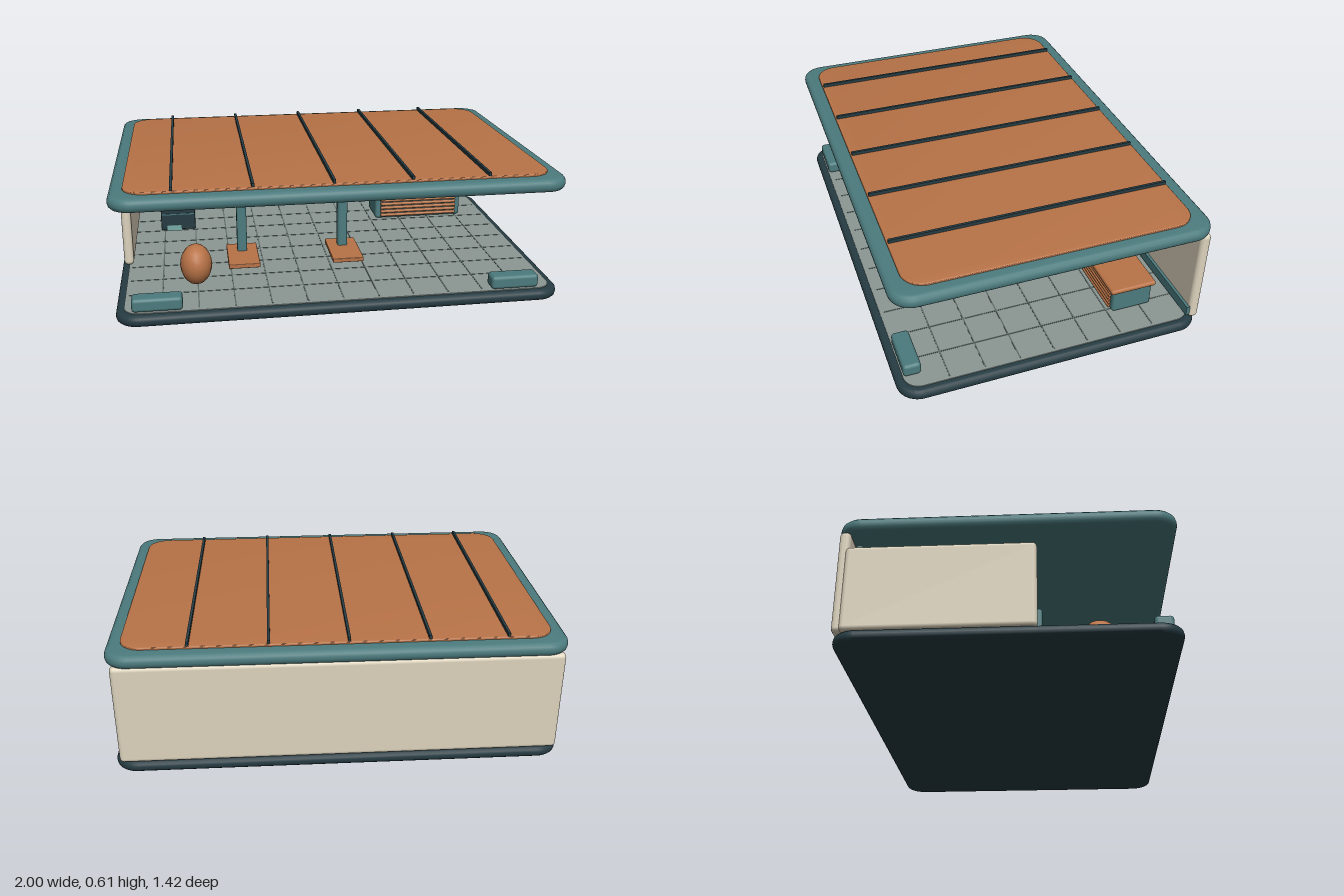
import * as THREE from 'three';
import { toCreasedNormals } from 'three/addons/utils/BufferGeometryUtils.js';
import { RoundedBoxGeometry } from 'three/addons/geometries/RoundedBoxGeometry.js';

const paint = (name, color) => {
  const m = new THREE.MeshStandardMaterial({ color });
  m.name = name;
  return m;
};

export function createModel() {
  const root = new THREE.Group();
  root.name = 'openPavilion';
  const orange = paint('terracotta', 0xb87347);
  const teal = paint('teal', 0x4c7b7e);
  const dark = paint('darkSlate', 0x263c43);
  const cream = paint('cream', 0xddd3bd);
  const stone = paint('stoneGrey', 0x8c9893);
  const grout = paint('grout', 0x5d6b69);
  const glass = paint('glass', 0x76aaa8);
  const metal = paint('metal', 0x98a09a);

  const add = (name, geo, mat, parent = root) => {
    const mesh = new THREE.Mesh(geo, mat);
    mesh.name = name;
    parent.add(mesh);
    return mesh;
  };
  const group = (name) => {
    const g = new THREE.Group();
    g.name = name;
    root.add(g);
    return g;
  };
  // Box given by its extents; r > 0 rounds the edges
  const box = (name, mat, x0, x1, y0, y1, z0, z1, r = 0, parent = root) => {
    const s = [x1 - x0, y1 - y0, z1 - z0];
    const geo = r ? new RoundedBoxGeometry(...s, 3, r) : new THREE.BoxGeometry(...s);
    const mesh = add(name, geo, mat, parent);
    mesh.position.set((x0 + x1) / 2, (y0 + y1) / 2, (z0 + z1) / 2);
    return mesh;
  };
  // Horizontal slab with rounded corners and bevelled rim
  const slab = (name, mat, w, d, y0, y1, r, bevel) => {
    const a = w / 2 - bevel, b = d / 2 - bevel, q = r - bevel;
    const s = new THREE.Shape();
    s.moveTo(-a + q, -b);
    s.lineTo(a - q, -b);
    s.absarc(a - q, -b + q, q, -Math.PI / 2, 0);
    s.lineTo(a, b - q);
    s.absarc(a - q, b - q, q, 0, Math.PI / 2);
    s.lineTo(-a + q, b);
    s.absarc(-a + q, b - q, q, Math.PI / 2, Math.PI);
    s.lineTo(-a, -b + q);
    s.absarc(-a + q, -b + q, q, Math.PI, Math.PI * 1.5);
    const geo = new THREE.ExtrudeGeometry(s, {
      depth: y1 - y0 - 2 * bevel, bevelEnabled: bevel > 0,
      bevelThickness: bevel, bevelSize: bevel, bevelSegments: 3, curveSegments: 8,
    });
    geo.translate(0, 0, bevel);
    geo.rotateX(-Math.PI / 2);
    return add(name, toCreasedNormals(geo, 0.6), mat).position.y = y0;
  };
  // Round bar between two points
  const rod = (name, mat, p, q, r, parent = root) => {
    const a = new THREE.Vector3(...p), b = new THREE.Vector3(...q);
    const m = add(name, new THREE.CylinderGeometry(r, r, a.distanceTo(b), 12), mat, parent);
    m.position.copy(a).lerp(b, 0.5);
    m.quaternion.setFromUnitVectors(new THREE.Vector3(0, 1, 0), b.sub(a).normalize());
  };

  // Base, tiled floor and grout lines
  slab('base', dark, 2, 1.41, 0, 0.049, 0.1, 0.02);
  slab('floor', stone, 1.93, 1.34, 0.045, 0.053, 0.07, 0);
  const tiles = group('floorGrout');
  for (let i = -5; i <= 5; i++)
    box('groutAcross', grout, i * 0.16 - 0.003, i * 0.16 + 0.003, 0.052, 0.0545, -0.65, 0.65, 0, tiles);
  for (let i = -3; i <= 3; i++)
    box('groutAlong', grout, -0.95, 0.95, 0.052, 0.0545, i * 0.16 - 0.003, i * 0.16 + 0.003, 0, tiles);

  // Roof with inset panel and seams
  slab('roof', teal, 2, 1.425, 0.52, 0.58, 0.1, 0.025);
  slab('roofPanel', orange, 1.88, 1.29, 0.575, 0.59, 0.1, 0.005);
  for (const x of [-0.735, -0.392, -0.043, 0.303, 0.648])
    box('roofSeam', dark, x - 0.006, x + 0.006, 0.585, 0.606, -0.64, 0.64);

  // Back wall, low side wall and skirting
  box('backWall', cream, -0.98, 0.975, 0.05, 0.525, -0.702, -0.654, 0.02);
  box('sideWall', cream, -0.99, -0.944, 0.05, 0.443, -0.67, 0.125, 0.02);
  box('skirting', teal, -0.95, 0.97, 0.07, 0.117, -0.656, -0.64);

  // Windows
  for (const x of [-0.695, -0.125, 0.468]) {
    const w = group('window');
    box('windowFrame', dark, x - 0.184, x + 0.184, 0.25, 0.433, -0.657, -0.638, 0.006, w);
    box('windowPane', glass, x - 0.167, x + 0.167, 0.264, 0.418, -0.645, -0.636, 0, w);
    box('windowMullion', metal, x - 0.006, x + 0.006, 0.264, 0.412, -0.64, -0.631, 0, w);
    box('windowBar', dark, x - 0.14, x + 0.14, 0.37, 0.378, -0.64, -0.633, 0, w);
  }

  // Wall rail, lamp strip and hanging tools
  rod('wallRail', teal, [-0.92, 0.477, -0.627], [0.86, 0.477, -0.627], 0.015);
  rod('lampStrip', cream, [-0.735, 0.456, -0.624], [0.73, 0.456, -0.624], 0.006);
  for (let i = 0; i < 4; i++) {
    const x = 0.468 + i * 0.068, t = group('hangingTool');
    rod('toolHandle', metal, [x, 0.285, -0.625], [x, 0.36, -0.617], 0.008, t);
    rod('toolHook', metal, [x, 0.36, -0.617], [x + 0.022, 0.39, -0.612], 0.008, t);
  }

  // Counter with slatted front
  const counter = group('counter');
  box('counterBody', teal, 0.35, 0.828, 0.053, 0.175, -0.534, -0.34, 0.015, counter);
  box('counterTop', orange, 0.34, 0.842, 0.17, 0.195, -0.545, -0.322, 0.011, counter);
  for (let i = 0; i < 5; i++) {
    const y = 0.073 + i * 0.021;
    rod('counterSlat', orange, [0.378, y, -0.335], [0.8, y, -0.335], 0.0085, counter);
  }

  // Small cabinet and free-standing panel
  box('cabinet', dark, -0.82, -0.64, 0.053, 0.197, -0.475, -0.33, 0.005);
  box('cabinetShelf', teal, -0.815, -0.645, 0.137, 0.143, -0.335, -0.327);
  box('cabinetPane', glass, -0.79, -0.71, 0.08, 0.112, -0.248, -0.243);

  // Posts with low plates
  for (const x of [-0.417, 0.083]) {
    box('post', teal, x - 0.024, x + 0.024, 0.053, 0.432, 0.077, 0.131, 0.012);
    box('lowPlate', orange, x - 0.075, x + 0.075, 0.075, 0.096, 0.028, 0.3, 0.004);
  }

  // Front bench blocks
  for (const x of [-0.82, 0.79])
    box('benchBlock', teal, x - 0.11, x + 0.11, 0.053, 0.115, 0.588, 0.668, 0.016);

  // Egg-shaped seat
  const egg = add('eggSeat', new THREE.SphereGeometry(1, 16, 12), orange);
  egg.scale.set(0.073, 0.095, 0.088);
  egg.position.set(-0.645, 0.148, 0.383);

  return root;
}
